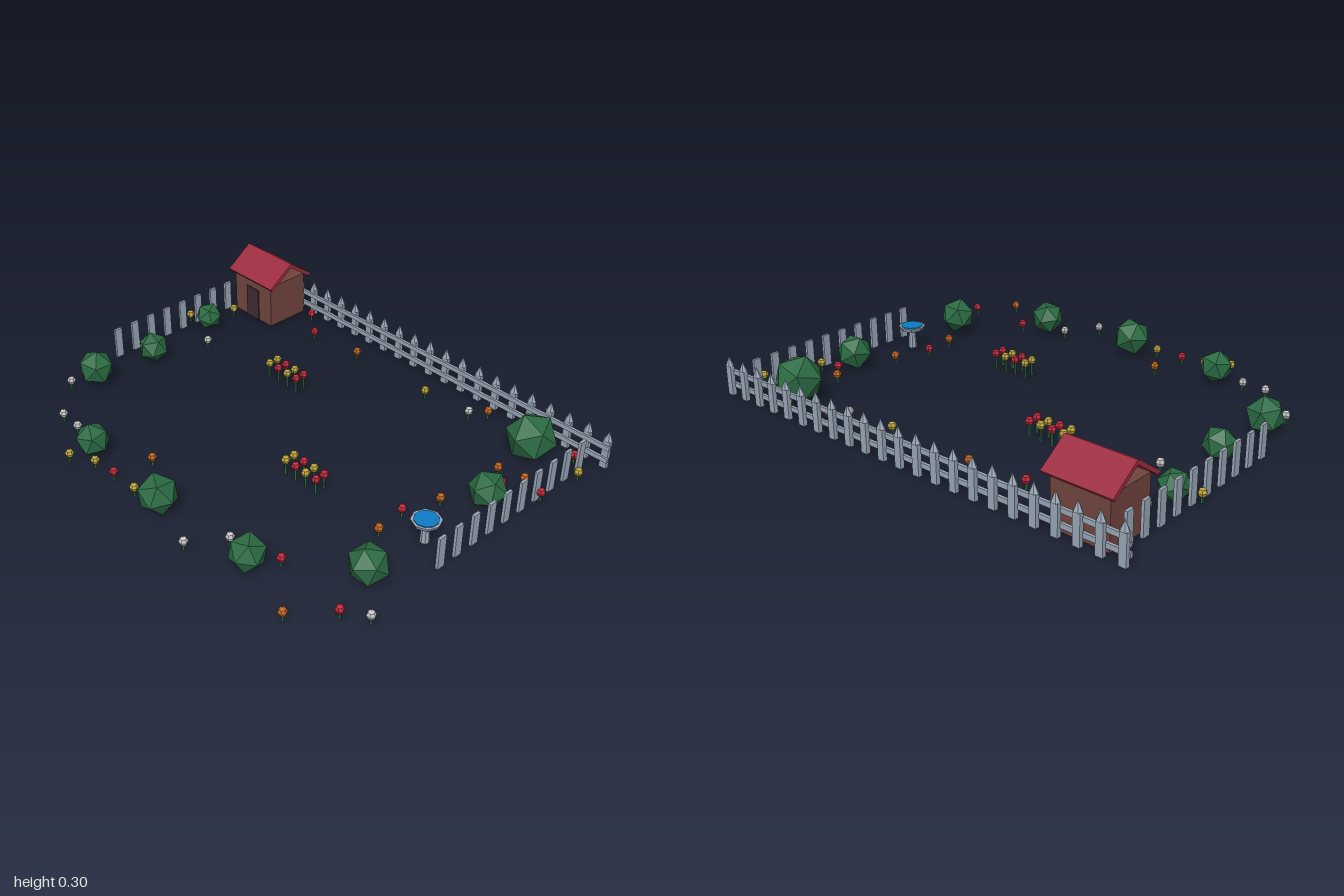
import * as THREE from 'three';

const mat = (name, color) => {
  const m = new THREE.MeshStandardMaterial({ color, flatShading: true });
  m.name = name;
  return m;
};

export function createModel() {
  const garden = new THREE.Group();
  garden.name = 'garden';
  const fenceGrey = mat('fence grey', 0x98a5b5);
  const roofRed = mat('roof red', 0x9c2c40);
  const wallBrown = mat('wall brown', 0x70443d);
  const doorDark = mat('door dark', 0x3d2c30);
  const leafGreen = mat('leaf green', 0x2a6a42);
  const waterBlue = mat('water blue', 0x0c7cc4);
  const petals = {
    r: mat('petal red', 0xbe2639),
    y: mat('petal yellow', 0xbda53a),
    o: mat('petal orange', 0xc0661c),
    w: mat('petal white', 0xc6c6c6),
  };

  const group = (name, parent = garden) => {
    const g = new THREE.Group();
    g.name = name;
    parent.add(g);
    return g;
  };
  const add = (parent, name, geo, material, x, y, z) => {
    const m = new THREE.Mesh(geo, material);
    m.name = name;
    m.position.set(x, y, z);
    parent.add(m);
    return m;
  };

  // Back fence: pointed pickets on two rails
  const backFence = group('backFence');
  const picketGeo = new THREE.BoxGeometry(0.03, 0.125, 0.018);
  const tipGeo = new THREE.ConeGeometry(0.02, 0.042, 6).rotateY(Math.PI / 6).scale(1, 1, 0.75);
  for (let i = 0; i < 23; i++) {
    const x = -0.98 + (i * 1.96) / 22;
    add(backFence, 'picket', picketGeo, fenceGrey, x, 0.0805, -0.748);
    add(backFence, 'picketTip', tipGeo, fenceGrey, x, 0.162, -0.748);
  }
  for (const y of [0.06, 0.115]) {
    add(backFence, 'rail', new THREE.BoxGeometry(2, 0.02, 0.012), fenceGrey, 0, y, -0.737);
  }

  // Side fences: loose flat planks
  const plankGeo = new THREE.BoxGeometry(0.012, 0.136, 0.034);
  for (const side of [-1, 1]) {
    const fence = group(side < 0 ? 'rightFence' : 'leftFence');
    for (let i = 0; i < 10; i++) {
      add(fence, 'plank', plankGeo, fenceGrey, side * 0.928, 0.088, -0.657 + i * 0.0889);
    }
  }

  // Shed with two sloping roof panels
  const shed = group('shed');
  add(shed, 'walls', new THREE.BoxGeometry(0.24, 0.2, 0.205), wallBrown, -0.786, 0.12, -0.618);
  add(shed, 'door', new THREE.BoxGeometry(0.078, 0.15, 0.008), doorDark, -0.785, 0.096, -0.514);
  for (const side of [-1, 1]) {
    const panel = add(shed, 'roofPanel', new THREE.BoxGeometry(0.286, 0.016, 0.148), roofRed,
      -0.785, 0.26, -0.618 + side * 0.058);
    panel.rotation.x = side * 0.62;
  }

  // Bird bath
  const bath = group('birdBath');
  bath.position.set(0.804, 0, 0.08);
  add(bath, 'pillar', new THREE.CylinderGeometry(0.014, 0.019, 0.09, 8), fenceGrey, 0, 0.065, 0);
  add(bath, 'bowl', new THREE.CylinderGeometry(0.058, 0.05, 0.016, 8), fenceGrey, 0, 0.112, 0);
  add(bath, 'water', new THREE.CylinderGeometry(0.047, 0.047, 0.005, 10), waterBlue, 0, 0.121, 0);

  // Faceted bushes: x, z, radius
  const bushes = group('bushes');
  [
    [-0.86, -0.31, 0.061], [-0.81, 0.045, 0.066], [-0.826, 0.335, 0.078],
    [-0.42, 0.635, 0.07], [0.03, 0.662, 0.081], [0.48, 0.625, 0.073],
    [0.803, 0.367, 0.078], [0.82, -0.24, 0.076], [0.738, -0.6, 0.103],
  ].forEach(([x, z, r], i) => {
    const bush = add(bushes, 'bush', new THREE.IcosahedronGeometry(r, 0), leafGreen, x, r + 0.012, z);
    bush.rotation.set(0.5 + i * 0.7, i * 1.3, i * 0.4);
  });
  bushes.children[8].position.y = 0.104;

  // Flowers: a stem and a small faceted head
  const flowers = group('flowers');
  const headGeo = new THREE.SphereGeometry(0.018, 6, 4);
  const flower = (x, z, colour, top = 0.06) => {
    const f = group('flower', flowers);
    f.position.set(x, 0, z);
    add(f, 'stem', new THREE.CylinderGeometry(0.005, 0.006, top - 0.02, 5), leafGreen, 0, top / 2 + 0.01, 0);
    add(f, 'head', headGeo, petals[colour], 0, top, 0);
  };
  const scattered = {
    r: [[-0.575, -0.685], [-0.447, -0.583], [0.89, -0.68], [0.943, -0.4], [0.81, -0.34], [0.66, 0.043],
      [-0.222, 0.68], [0.558, 0.54], [0.868, 0.567]],
    y: [[0.206, -0.592], [0.67, -0.71], [0.964, -0.602], [0.89, -0.363], [-0.853, -0.453], [-0.948, -0.272],
      [-0.43, 0.738], [-0.328, 0.69], [-0.094, 0.68]],
    o: [[-0.2, -0.603], [0.479, -0.667], [0.74, -0.405], [0.848, -0.426], [0.713, -0.106], [0.677, 0.182],
      [-0.195, 0.519], [0.751, 0.711]],
    w: [[0.425, -0.61], [-0.718, -0.186], [-0.853, 0.445], [-0.671, 0.605], [-0.564, 0.61], [0.265, 0.733],
      [0.356, 0.598], [0.955, 0.51]],
  };
  for (const colour in scattered) {
    for (const [x, z] of scattered[colour]) flower(x, z, colour);
  }

  // Two planted beds of taller flowers
  for (const [bx, bz] of [[-0.355, -0.273], [0.19, 0.137]]) {
    for (let row = 0; row < 2; row++) {
      for (let i = 0; i < 4; i++) {
        flower(bx + i * 0.0545, bz + row * 0.043, i % 2 ? 'r' : 'y', 0.088);
      }
    }
  }

  return garden;
}
